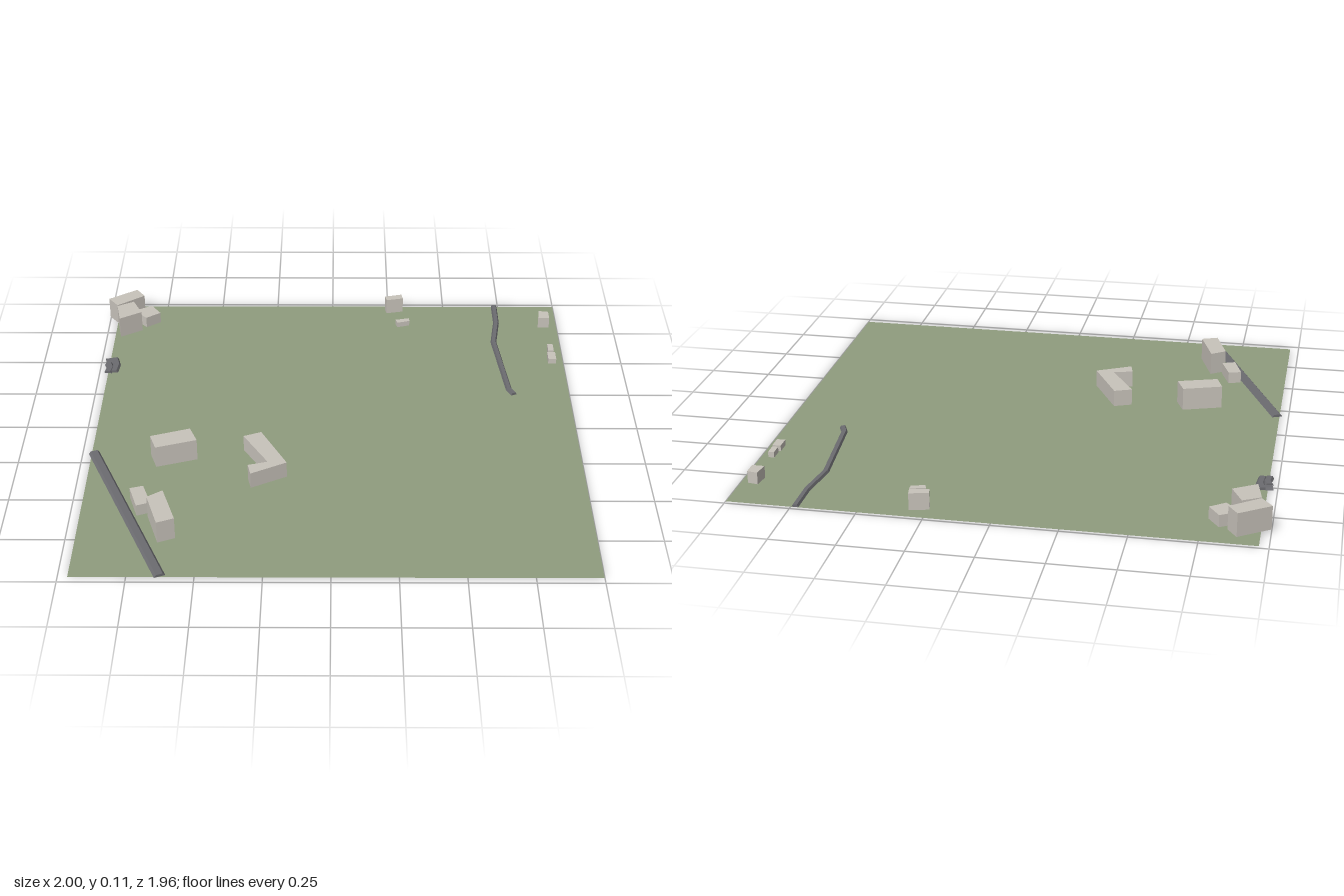
import * as THREE from 'three';

const mat = (name, color, side = THREE.FrontSide) => {
  const m = new THREE.MeshStandardMaterial({ color, side });
  m.name = name;
  return m;
};

export function createModel() {
  const model = new THREE.Group();
  const grass = mat('grass green', 0x8f9c7e, THREE.DoubleSide);
  const concrete = mat('pale concrete', 0xc8c3bb);
  const asphalt = mat('asphalt grey', 0x6c6c70, THREE.DoubleSide);

  const add = (name, geometry, material) => {
    const mesh = new THREE.Mesh(geometry, material);
    mesh.name = name;
    model.add(mesh);
    return mesh;
  };

  // flat square of land
  const land = add('ground', new THREE.PlaneGeometry(1.963, 1.955).rotateX(-Math.PI / 2), grass);
  land.position.set(0.018, 0, -0.007);

  // building: a footprint of [x, z] corners raised to a flat roof
  const BASE = 0.012;
  function building(name, top, corners) {
    const shape = new THREE.Shape(corners.map(([x, z]) => new THREE.Vector2(x, -z)));
    const geo = new THREE.ExtrudeGeometry(shape, { depth: top - BASE, bevelEnabled: false });
    add(name, geo.rotateX(-Math.PI / 2).translate(0, BASE, 0), concrete);
  }

  // cluster at the back corner
  building('cornerHouse', 0.105, [[-1, -0.87], [-0.882, -0.952], [-0.845, -0.898], [-0.957, -0.813]]);
  building('cornerWing', 0.105, [[-0.957, -0.807], [-0.888, -0.845], [-0.845, -0.754], [-0.936, -0.697]]);
  building('cornerShed', 0.06, [[-0.888, -0.842], [-0.813, -0.887], [-0.77, -0.824], [-0.829, -0.78]]);

  // large buildings near the main road
  building('longHouse', 0.105, [[-0.722, 0.214], [-0.567, 0.16], [-0.535, 0.241], [-0.695, 0.294]]);
  building('angledHouse', 0.08, [[-0.353, 0.176], [-0.283, 0.147], [-0.176, 0.358], [-0.315, 0.433],
    [-0.328, 0.375], [-0.251, 0.353]]);
  building('roadsideShed', 0.06, [[-0.778, 0.503], [-0.727, 0.487], [-0.69, 0.594], [-0.743, 0.615]]);
  building('roadsideHouse', 0.105, [[-0.7, 0.62], [-0.642, 0.578], [-0.585, 0.754], [-0.65, 0.781]]);

  // small outbuildings
  building('backHouse', 0.08, [[0.236, -0.938], [0.31, -0.957], [0.316, -0.922], [0.243, -0.906]]);
  building('backShed', 0.035, [[0.281, -0.81], [0.342, -0.824], [0.342, -0.8], [0.289, -0.784]]);
  building('sideHouse', 0.06, [[0.922, -0.847], [0.963, -0.84], [0.963, -0.784], [0.914, -0.784]]);
  building('sideShed', 0.035, [[0.938, -0.604], [0.962, -0.604], [0.962, -0.553], [0.938, -0.553]]);
  building('sideStore', 0.035, [[0.932, -0.54], [0.966, -0.54], [0.966, -0.482], [0.932, -0.482]]);

  // road: a low section with sloped shoulders swept along [x, z] points
  function road(name, width, path) {
    const h = 0.01, w = width / 2;
    const section = [[-w, 0], [-w * 0.6, h], [w * 0.6, h], [w, 0]];
    const pts = path.map(([x, z]) => new THREE.Vector2(x, z));
    const rings = pts.map((p, i) => {
      const t = pts[Math.min(i + 1, pts.length - 1)].clone().sub(pts[Math.max(i - 1, 0)]).normalize();
      return section.map(([s, y]) => [p.x - t.y * s, y + 0.001, p.y + t.x * s]);
    });
    const pos = [];
    const quad = (a, b, c, d) => pos.push(...a, ...b, ...c, ...a, ...c, ...d);
    for (let i = 0; i + 1 < rings.length; i++) {
      for (let j = 0; j < 4; j++) {
        const k = (j + 1) % 4;
        quad(rings[i][j], rings[i][k], rings[i + 1][k], rings[i + 1][j]);
      }
    }
    quad(...[...rings[0]].reverse());
    quad(...rings[rings.length - 1]);
    const geo = new THREE.BufferGeometry();
    geo.setAttribute('position', new THREE.Float32BufferAttribute(pos, 3));
    // turn the winding so that the road surface faces up
    for (let i = 0; i < pos.length; i += 9) {
      const a = new THREE.Vector3().fromArray(pos, i);
      const b = new THREE.Vector3().fromArray(pos, i + 3).sub(a);
      const c = new THREE.Vector3().fromArray(pos, i + 6).sub(a);
      if (b.cross(c).y < -1e-9 && a.y > 0.002) {
        const p = geo.attributes.position.array;
        for (let k = 0; k < 3; k++) [p[i + 3 + k], p[i + 6 + k]] = [p[i + 6 + k], p[i + 3 + k]];
      }
    }
    geo.computeVertexNormals();
    add(name, geo, asphalt);
  }

  road('mainRoad', 0.044, [[-0.955, 0.182], [-0.626, 0.968]]);
  road('lane', 0.026, [[0.733, -0.985], [0.733, -0.84], [0.71, -0.674], [0.748, -0.29], [0.766, -0.25]]);
  road('cornerTrack', 0.034, [[-0.98, -0.505], [-0.952, -0.512]]);
  road('cornerBend', 0.034, [[-0.945, -0.525], [-0.932, -0.478], [-0.938, -0.42]]);
  road('cornerSpur', 0.034, [[-0.968, -0.485], [-0.958, -0.455], [-0.964, -0.415]]);

  return model;
}
